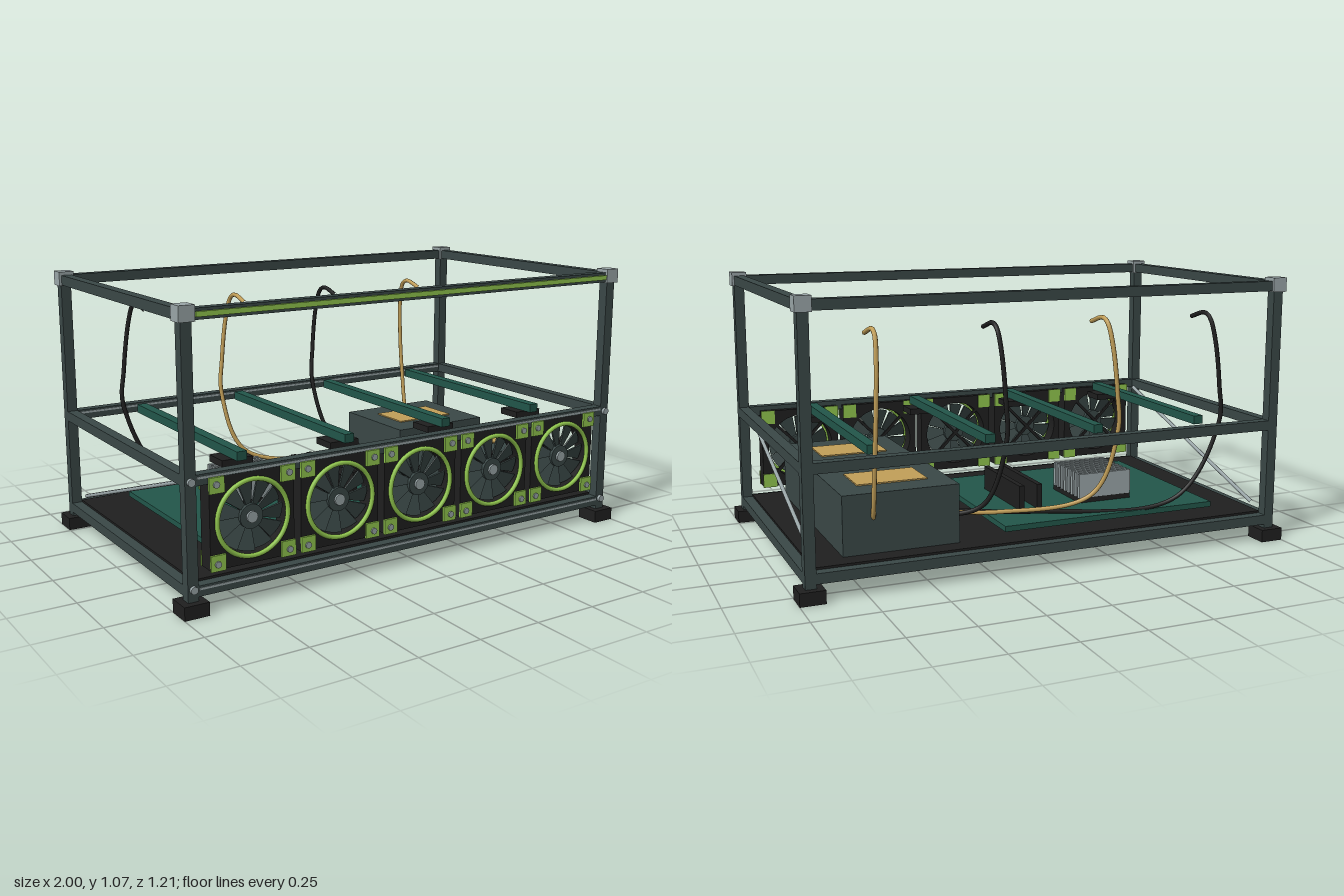
import * as THREE from 'three';

const mat = (name, color) => { const m = new THREE.MeshStandardMaterial({ color }); m.name = name; return m; };

export function createModel() {
  const root = new THREE.Group();
  root.name = 'openRig';
  const slate = mat('slate', 0x3a4847), black = mat('black', 0x1f1f1f), silver = mat('silver', 0x9aa6a8);
  const green = mat('circuitGreen', 0x22564a), lime = mat('lime', 0x92c84e), gold = mat('gold', 0xc29f58);

  const add = (name, geo, m, x = 0, y = 0, z = 0, parent = root) => {
    const mesh = new THREE.Mesh(geo, m);
    mesh.name = name;
    mesh.position.set(x, y, z);
    parent.add(mesh);
    return mesh;
  };
  const box = (name, w, h, d, m, x, y, z, parent) => add(name, new THREE.BoxGeometry(w, h, d), m, x, y, z, parent);
  const tube = (name, pts, r, m, seg = 64) =>
    add(name, new THREE.TubeGeometry(new THREE.CatmullRomCurve3(pts.map(p => new THREE.Vector3(...p))), seg, r, 8), m);
  const disc = (name, r, d, m, x, y, z, parent, n = 12) =>
    add(name, new THREE.CylinderGeometry(r, r, d, n).rotateX(Math.PI / 2), m, x, y, z, parent);

  // Frame: posts, feet, corner cubes and three levels of rails
  const X = 0.953, Z = 0.555, T = 0.041;
  const levels = [0.085, 0.478, 1.038];
  for (const sx of [-1, 1]) {
    for (const sz of [-1, 1]) {
      box('post', T, 0.99, T, slate, sx * X, 0.545, sz * Z);
      box('foot', 0.095, 0.05, 0.095, black, sx * X, 0.025, sz * Z);
      box('cornerCube', 0.06, 0.056, 0.06, silver, sx * X, 1.043, sz * Z);
    }
    for (const y of levels) box('sideRail', T, 0.039, 2 * Z - T, slate, sx * X, y, 0);
    for (const y of [0.095, 0.476]) disc('frameBolt', 0.014, 0.014, silver, sx * X, y, Z + 0.026);
    // Diagonal brace
    tube('brace', [[sx * 0.926, 0.462, 0.51], [sx * 0.926, 0.14, -0.49]], 0.008, silver, 1);
  }
  for (const sz of [-1, 1]) for (const y of levels) {
    box('longRail', 2 * X - T, 0.039, T, slate, 0, y, sz * Z);
    if (y < 1) box('railGroove', 1.86, 0.008, 0.004, silver, 0, y + 0.008, sz * Z + 0.021);
  }
  box('lightStrip', 1.84, 0.018, 0.01, lime, 0, 1.038, Z + 0.025);

  // Tray and main board
  box('tray', 1.865, 0.014, 1.07, black, 0, 0.106, 0);
  box('mainBoard', 0.92, 0.022, 0.78, green, -0.3, 0.136, -0.05);
  for (const x of [-0.7, 0.1]) for (const z of [-0.38, 0.28]) box('standoff', 0.03, 0.014, 0.03, black, x, 0.119, z);
  box('heatsinkBase', 0.235, 0.02, 0.245, black, -0.367, 0.157, -0.132);
  for (let i = 0; i < 8; i++) box('heatsinkFin', 0.235, 0.1, 0.016, silver, -0.367, 0.217, -0.246 + i * 0.0325);
  for (const x of [-0.069, 0.009]) box('memoryStick', 0.022, 0.1, 0.37, black, x, 0.196, -0.07);

  // Power supplies with labels and vent bars
  for (const z of [-0.255, 0.25]) {
    const psu = new THREE.Group();
    psu.name = 'powerSupply';
    psu.position.z = z;
    root.add(psu);
    box('psuCase', 0.45, 0.228, 0.41, slate, 0.58, 0.226, 0, psu);
    box('psuLabel', 0.275, 0.005, 0.182, gold, 0.578, 0.3425, 0, psu);
    for (let i = 0; i < 7; i++) box('ventBar', 0.34, 0.011, 0.008, black, 0.58, 0.157 + i * 0.0235, 0.208, psu);
  }

  // Card supports
  const slots = [-0.687, -0.233, 0.222, 0.682];
  for (const x of slots) {
    box('cardBeam', 0.04, 0.034, 0.883, green, x, 0.496, 0);
    box('cardConnector', 0.125, 0.025, 0.1, black, x, 0.467, 0.358);
  }

  // Cables rise from the supplies and hook over at the top
  const runs = [
    [[0.56, 0.22, -0.25], [0.0, 0.165, -0.35], [-0.58, 0.19, -0.46]],
    [[0.56, 0.22, -0.26], [0.15, 0.18, -0.35], [-0.2, 0.24, -0.455]],
    [[0.56, 0.22, -0.27], [0.36, 0.2, -0.375], [0.25, 0.25, -0.45]],
    [[0.68, 0.22, -0.42], [0.69, 0.26, -0.465]],
  ];
  const sway = [-0.052, -0.047, -0.035, 0.012];
  slots.forEach((x, i) => tube('cable', [...runs[i],
    [x + sway[i], 0.5, -0.513], [x + sway[i] * 0.75, 0.65, -0.525], [x + sway[i] * 0.3, 0.83, -0.522],
    [x + sway[i] * 0.05, 0.915, -0.5], [x, 0.934, -0.465], [x, 0.91, -0.37]], 0.009, i % 2 ? gold : black, 96));

  // Fans: square shroud, ring, corner pads, blades and hub
  const shroud = new THREE.Shape();
  const S = 0.166;
  shroud.moveTo(-S, -S).lineTo(S, -S).lineTo(S, S).lineTo(-S, S).closePath();
  shroud.holes.push(new THREE.Path().absarc(0, 0, 0.139, 0, Math.PI * 2, true));
  const shroudGeo = new THREE.ExtrudeGeometry(shroud, { depth: 0.068, bevelEnabled: false, curveSegments: 32 });
  const ringGeo = new THREE.TorusGeometry(0.139, 0.009, 8, 48);
  const N = 11, half = Math.PI / N * 0.95;
  const bladeShape = new THREE.Shape();
  bladeShape.absarc(0, 0, 0.128, -half, half, false);
  bladeShape.absarc(0, 0, 0.03, half, -half, true);
  const bladeGeo = new THREE.ExtrudeGeometry(bladeShape, { depth: 0.006, bevelEnabled: false, curveSegments: 4 });
  bladeGeo.rotateX(0.3);
  for (let f = -2; f <= 2; f++) {
    const fan = new THREE.Group();
    fan.name = 'fan';
    fan.position.set(f * 0.36, 0.313, 0);
    root.add(fan);
    add('fanShroud', shroudGeo, black, 0, 0, 0.508, fan);
    add('fanRing', ringGeo, lime, 0, 0, 0.579, fan);
    for (const sx of [-1, 1]) for (const sy of [-1, 1]) {
      box('cornerPad', 0.058, 0.058, 0.009, lime, sx * 0.139, sy * 0.139, 0.5805, fan);
      box('rearPad', 0.058, 0.058, 0.006, lime, sx * 0.139, sy * 0.139, 0.505, fan);
      disc('padBolt', 0.012, 0.008, silver, sx * 0.142, sy * 0.142, 0.587, fan);
    }
    for (let i = 0; i < N; i++) add('fanBlade', bladeGeo, slate, 0, 0, 0.55, fan).rotation.z = i * 2 * Math.PI / N;
    disc('fanHub', 0.045, 0.036, slate, 0, 0, 0.55, fan, 24);
    disc('hubCap', 0.021, 0.01, silver, 0, 0, 0.572, fan, 16);
    // Rear struts hold the hub
    for (const a of [Math.PI / 4, -Math.PI / 4]) box('fanStrut', 0.3, 0.012, 0.01, black, 0, 0, 0.515, fan).rotation.z = a;
  }
  return root;
}
